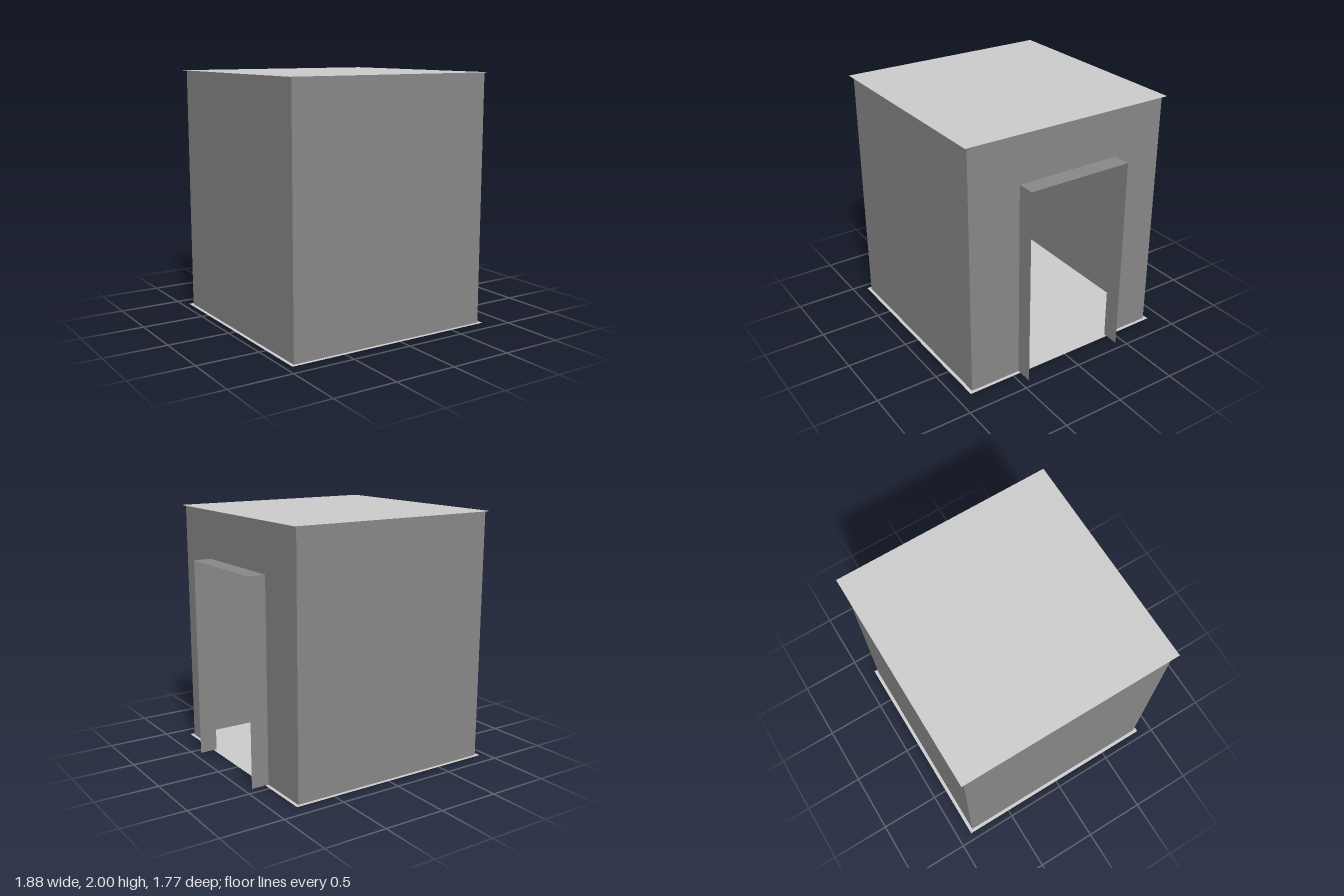
import * as THREE from 'three';

export function createModel() {
  const group = new THREE.Group();
  const wallGrey = new THREE.MeshStandardMaterial({ color: 0x888888, side: THREE.DoubleSide });
  wallGrey.name = 'wall grey';
  const slabGrey = new THREE.MeshStandardMaterial({ color: 0xcccccc, side: THREE.DoubleSide });
  slabGrey.name = 'light slab grey';

  const x0 = -0.915, x1 = 0.797, z1 = 0.857, height = 2; // walls
  const doorHalf = 0.432, doorTop = 1.61, porchX = 0.94; // doorway
  const midX = (x0 + x1) / 2, porchMid = (x1 + porchX) / 2;

  const add = (name, geometry, material, x, y, z) => {
    const mesh = new THREE.Mesh(geometry, material);
    mesh.name = name;
    mesh.position.set(x, y, z);
    group.add(mesh);
  };

  // Floor and roof sheets, slightly wider than the walls
  const sheet = (ry) => new THREE.PlaneGeometry(1.767, 1.77).rotateX(ry);
  add('floor', sheet(-Math.PI / 2), slabGrey, midX, 0, 0);
  add('roof', sheet(-Math.PI / 2), slabGrey, midX, height, 0);

  // Closed walls
  const longWall = () => new THREE.PlaneGeometry(x1 - x0, height);
  add('frontWall', longWall(), wallGrey, midX, height / 2, z1);
  add('backWall', longWall().rotateY(Math.PI), wallGrey, midX, height / 2, -z1);
  add('rightWall', new THREE.PlaneGeometry(2 * z1, height).rotateY(-Math.PI / 2), wallGrey, x0, height / 2, 0);

  // Wall with the doorway cut up from the floor
  const outline = new THREE.Shape([
    [-z1, 0], [-doorHalf, 0], [-doorHalf, doorTop], [doorHalf, doorTop],
    [doorHalf, 0], [z1, 0], [z1, height], [-z1, height],
  ].map(([x, y]) => new THREE.Vector2(x, y)));
  add('doorWall', new THREE.ShapeGeometry(outline).rotateY(Math.PI / 2), wallGrey, x1, 0, 0);

  // Thin door surround standing out from the wall
  for (const side of [1, -1]) {
    const jamb = new THREE.PlaneGeometry(porchX - x1, doorTop).rotateY(side > 0 ? 0 : Math.PI);
    add(side > 0 ? 'frontDoorJamb' : 'backDoorJamb', jamb, wallGrey, porchMid, doorTop / 2, side * doorHalf);
  }
  const lintel = new THREE.PlaneGeometry(porchX - x1, 2 * doorHalf).rotateX(-Math.PI / 2);
  add('doorLintel', lintel, wallGrey, porchMid, doorTop, 0);

  return group;
}
